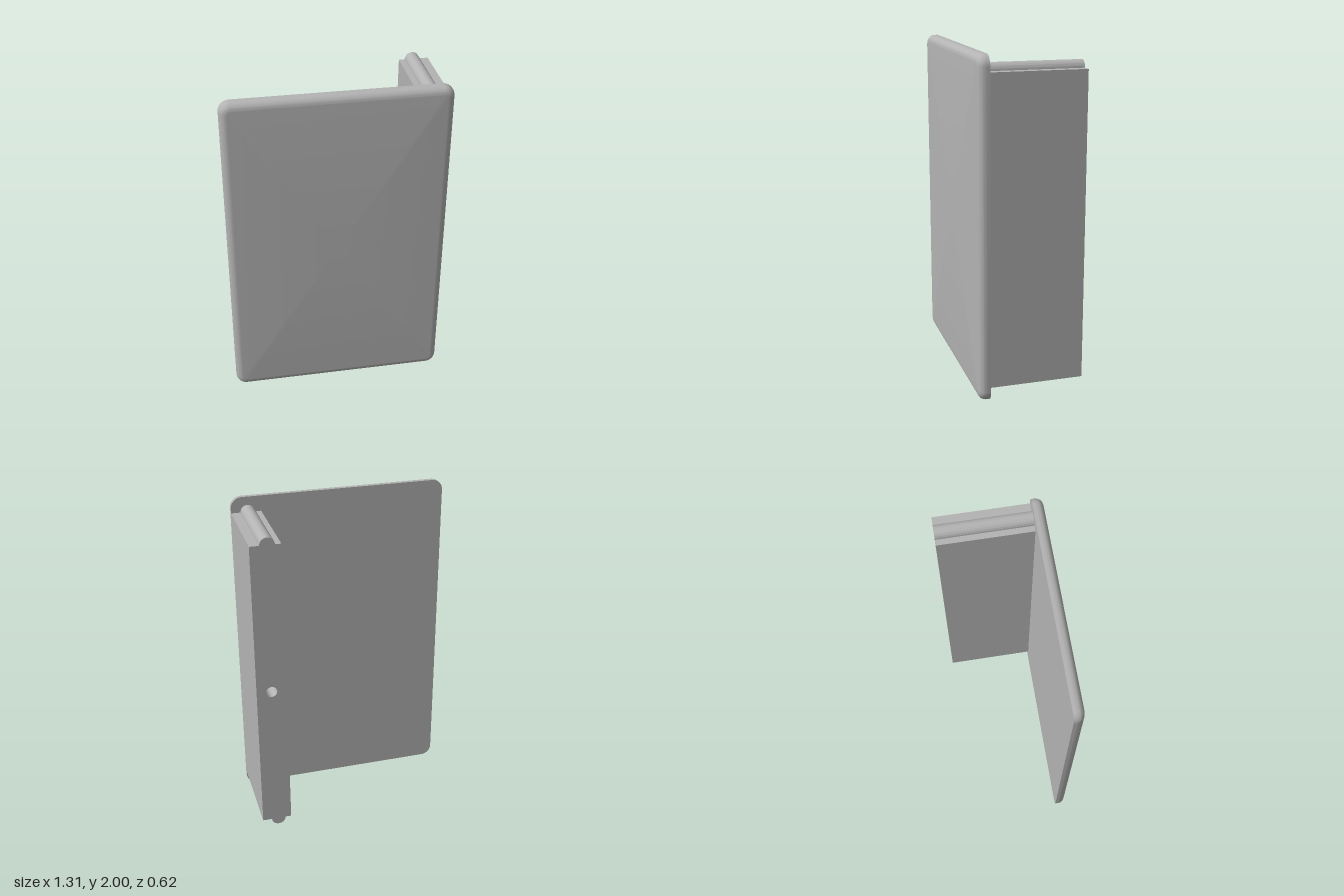
import * as THREE from 'three';
import { toCreasedNormals, mergeVertices } from 'three/addons/utils/BufferGeometryUtils.js';

const W = 0.655, H = 1, BACK = 0.245, FRONT = 0.31, CORNER = 0.065, ROUND = 0.045;

// Rounded rectangle outline, anticlockwise, inset from the panel edge
function outline(inset, steps = 10) {
  const pts = [], r = CORNER - inset;
  [[1, 1], [-1, 1], [-1, -1], [1, -1]].forEach(([sx, sy], q) => {
    for (let i = 0; i <= steps; i++) {
      const a = (q + i / steps) * Math.PI / 2;
      pts.push([sx * (W - CORNER) + r * Math.cos(a), 1 + sy * (H - CORNER) + r * Math.sin(a)]);
    }
  });
  return pts;
}

// Panel: square back edge, rounded front edge, both faces closed with fans
function panelGeometry() {
  const rings = [[0, BACK]];
  for (let i = 0; i <= 10; i++) {
    const a = i / 10 * Math.PI / 2;
    rings.push([ROUND * (1 - Math.cos(a)), FRONT - ROUND + ROUND * Math.sin(a)]);
  }
  const pos = [], idx = [];
  let n = 0;
  for (const [inset, z] of rings) {
    const ring = outline(inset);
    n = ring.length;
    ring.forEach(([x, y]) => pos.push(x, y, z));
  }
  for (let k = 0; k < rings.length - 1; k++) {
    for (let i = 0; i < n; i++) {
      const a = k * n + i, b = k * n + (i + 1) % n;
      idx.push(a, b, b + n, a, b + n, a + n);
    }
  }
  const c = pos.length / 3, last = (rings.length - 1) * n;
  pos.push(0, 1, BACK, 0, 1, FRONT);
  for (let i = 0; i < n; i++) {
    const j = (i + 1) % n;
    idx.push(c, j, i, c + 1, last + i, last + j);
  }
  const g = new THREE.BufferGeometry();
  g.setAttribute('position', new THREE.Float32BufferAttribute(pos, 3));
  g.setIndex(idx);
  return toCreasedNormals(mergeVertices(g), 0.6);
}

// Arm: upright slab with a half-round rib along its top and bottom, and a bore
function armGeometry() {
  const x0 = 0.477, x1 = W, rib = 0.556, r = 0.043, y0 = 0.093, y1 = 1.907;
  const s = new THREE.Shape();
  s.moveTo(x0, y0);
  s.lineTo(rib - r, y0);
  s.absarc(rib, y0, r, Math.PI, Math.PI * 2, false);
  s.lineTo(x1, y0);
  s.lineTo(x1, y1);
  s.lineTo(rib + r, y1);
  s.absarc(rib, y1, r, 0, Math.PI, false);
  s.lineTo(x0, y1);
  s.closePath();
  const bore = new THREE.Path();
  bore.absarc((x0 + x1) / 2, 1, 0.033, 0, Math.PI * 2, true);
  s.holes.push(bore);
  const g = new THREE.ExtrudeGeometry(s, { depth: BACK + 0.31, bevelEnabled: false, curveSegments: 20 });
  g.translate(0, 0, -0.31);
  return toCreasedNormals(g, 0.6);
}

export function createModel() {
  const grey = new THREE.MeshStandardMaterial({ color: 0xb3b3b3 });
  grey.name = 'plain grey';
  const model = new THREE.Group();
  model.name = 'panelWithArm';
  for (const [name, geometry] of [['frontPanel', panelGeometry()], ['mountingArm', armGeometry()]]) {
    const mesh = new THREE.Mesh(geometry, grey);
    mesh.name = name;
    model.add(mesh);
  }
  return model;
}
